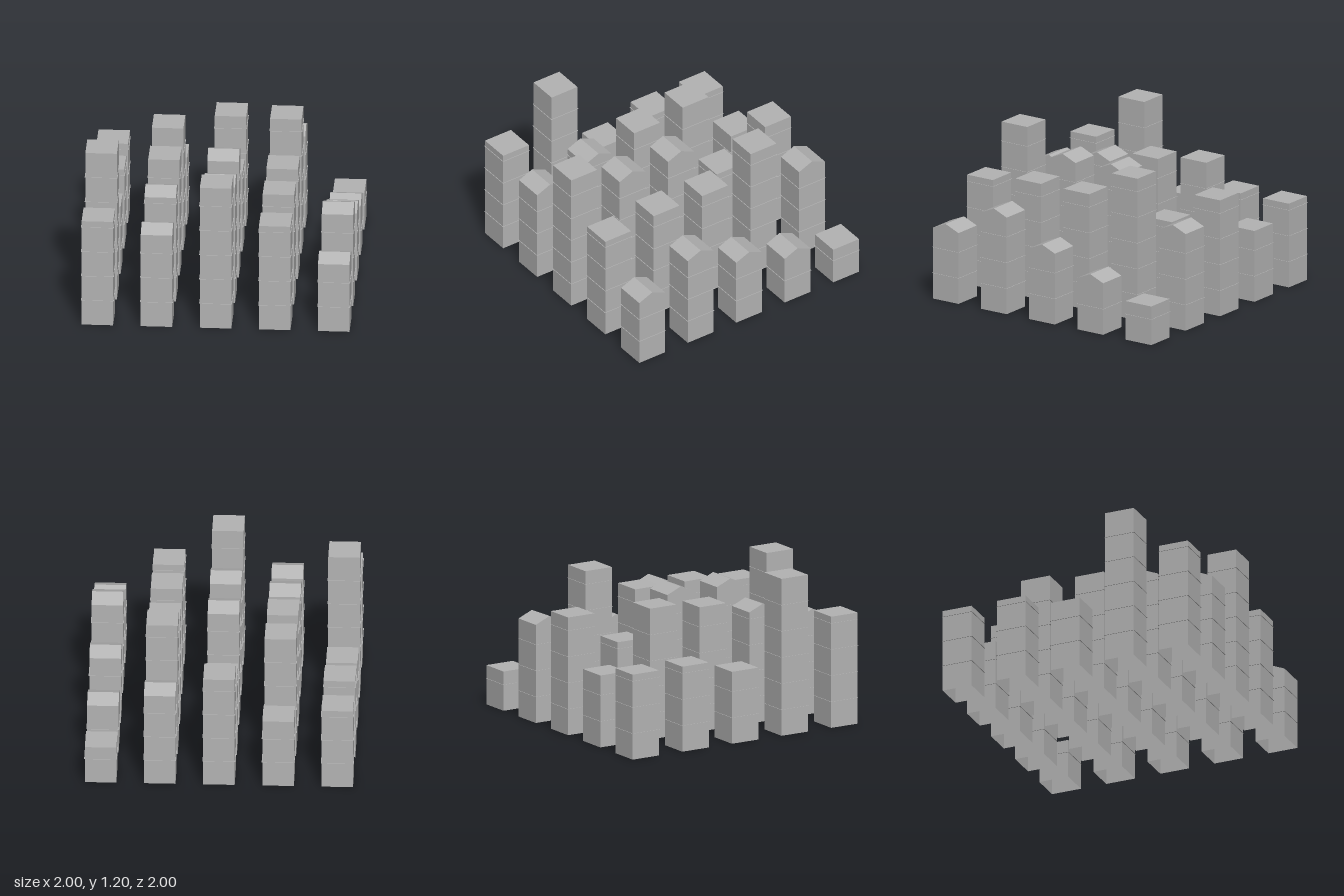
import * as THREE from 'three';

const PITCH = 0.439;   // spacing of the 5 x 5 grid
const WIDTH = 0.234;   // tower side
const LEDGE = 0.244;   // floor sheets stick out slightly
const FLOOR = 0.2;     // storey height
const RISE = 0.05;     // ridge height above the eaves

// Wall heights, rows from back to front, columns from -x to +x; g marks a gabled roof
const g = (eaves) => ({ eaves, gable: true });
const f = (eaves) => ({ eaves, gable: false });
const PLAN = [
  [f(0.65), f(0.55), f(0.9), g(0.75), f(0.3)],
  [f(0.65), f(1.0), f(0.65), f(1.1), g(0.4)],
  [f(0.55), f(0.95), g(0.95), f(0.9), g(0.55)],
  [f(1.2), g(0.85), g(0.95), f(0.9), g(0.75)],
  [f(0.85), g(0.75), f(1.15), f(0.85), g(0.55)],
];

// Hollow tower, open underneath; a gable lifts the middle of the top along x
function towerGeometry(eaves, gable) {
  const box = new THREE.BoxGeometry(WIDTH, eaves, WIDTH, 1, 1, gable ? 2 : 1);
  box.translate(0, eaves / 2, 0);
  const pos = box.attributes.position;
  for (let i = 0; gable && i < pos.count; i++) {
    if (pos.getY(i) > eaves - 1e-4 && Math.abs(pos.getZ(i)) < 1e-4) pos.setY(i, eaves + RISE);
  }
  const bottom = box.groups[3];
  const index = Array.from(box.index.array);
  index.splice(bottom.start, bottom.count);
  box.setIndex(index);
  box.clearGroups();
  const flat = box.toNonIndexed();
  flat.computeVertexNormals();
  return flat;
}

export function createModel() {
  const model = new THREE.Group();
  model.name = 'towerBlocks';
  const grey = new THREE.MeshStandardMaterial({ color: 0xb3b3b3, side: THREE.DoubleSide });
  grey.name = 'concrete grey';

  const sheet = new THREE.PlaneGeometry(LEDGE, LEDGE).rotateX(-Math.PI / 2);

  PLAN.forEach((row, r) => row.forEach(({ eaves, gable }, c) => {
    const tower = new THREE.Group();
    tower.name = gable ? 'gabledTower' : 'flatTower';
    tower.position.set((c - 2) * PITCH, 0, (r - 2) * PITCH);

    const walls = new THREE.Mesh(towerGeometry(eaves, gable), grey);
    walls.name = 'wallsAndRoof';
    tower.add(walls);

    // Thin floor sheets between storeys
    for (let y = FLOOR; y < eaves - 0.01; y += FLOOR) {
      const floor = new THREE.Mesh(sheet, grey);
      floor.name = 'floorSheet';
      floor.position.y = y;
      tower.add(floor);
    }
    model.add(tower);
  }));
  return model;
}
